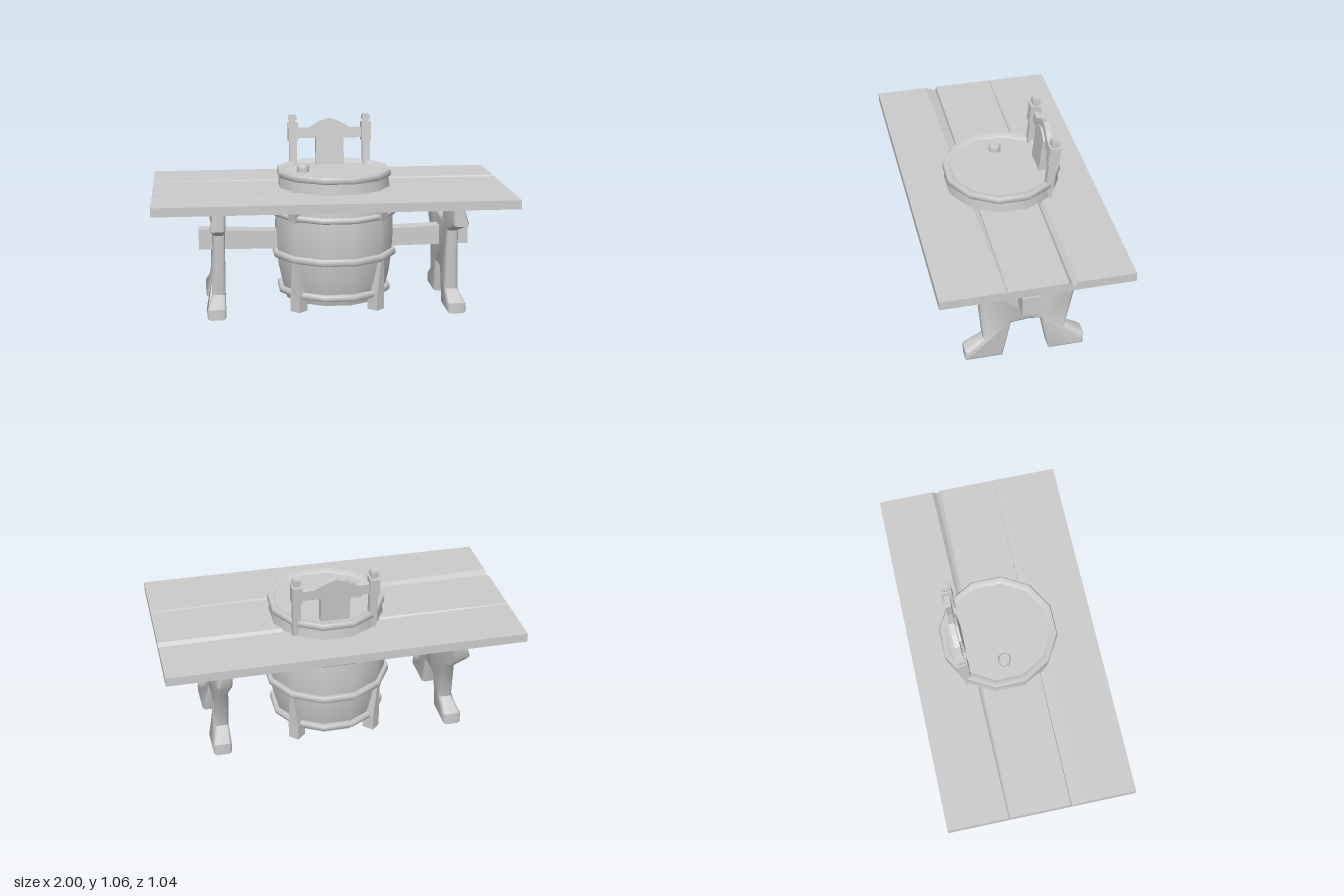
import * as THREE from 'three';
import { toCreasedNormals } from 'three/addons/utils/BufferGeometryUtils.js';

const CX = 0.03, CZ = -0.02; // barrel axis

export function createModel() {
  const root = new THREE.Group();
  root.name = 'barrelTable';
  const mat = new THREE.MeshStandardMaterial({ color: 0xcccccc });
  const add = (name, geo, parent = root) => {
    const m = new THREE.Mesh(geo, mat);
    m.name = name;
    parent.add(m);
    return m;
  };
  const shapeOf = pts => new THREE.Shape(pts.map(p => new THREE.Vector2(...p)));
  // Move every vertex by a rule, then rebuild normals
  const reshape = (geo, rule, crease) => {
    const p = geo.attributes.position, v = new THREE.Vector3();
    for (let i = 0; i < p.count; i++) {
      rule(v.fromBufferAttribute(p, i));
      p.setXYZ(i, v.x, v.y, v.z);
    }
    return toCreasedNormals(geo, crease);
  };
  // Twelve-sided turned part, radii measured to the flats
  const turned = (name, pts, crease = 0.6) => {
    const k = 1 / Math.cos(Math.PI / 12);
    const geo = new THREE.LatheGeometry(pts.map(([r, y]) => new THREE.Vector2(r * k, y)), 12, Math.PI / 12);
    add(name, toCreasedNormals(geo, crease)).position.set(CX, 0, CZ);
  };

  // Table top: cross-section with two V grooves that fade towards opposite ends
  const top = new THREE.ExtrudeGeometry(shapeOf([
    [-0.52, 0.645], [0.522, 0.645], [0.522, 0.695], [0.23, 0.695], [0.165, 0.67], [0.16, 0.695],
    [-0.158, 0.695], [-0.18, 0.67], [-0.207, 0.695], [-0.52, 0.695]]), { depth: 2, bevelEnabled: false });
  top.translate(0, 0, -1).rotateY(-Math.PI / 2);
  add('tableTop', reshape(top, v => {
    if (Math.abs(v.z) > 0.3) return;
    const back = v.z < 0, z0 = back ? -0.18 : 0.165;
    const t = back ? 0.2 + 0.4 * (1 + v.x) : 0.12 + 0.44 * (1 - v.x);
    v.z = z0 + (v.z - z0) * t;
    v.y = 0.695 - (0.695 - v.y) * t;
  }, 0.3));

  // Barrel body with sunken lid
  turned('barrel', [[0, 0.05], [0.275, 0.05], [0.29, 0.1], [0.312, 0.2], [0.326, 0.315], [0.333, 0.44],
    [0.328, 0.555], [0.313, 0.69], [0.304, 0.78], [0.298, 0.782], [0.285, 0.772], [0, 0.772]]);
  // Hoops
  [[0.102, 0.319, 0.018], [0.315, 0.35, 0.019], [0.553, 0.35, 0.016], [0.774, 0.32, 0.019]].forEach(([y, r, h]) =>
    turned('hoop', [[r - 0.04, y - h], [r - 0.006, y - h], [r, y - h * 0.55], [r, y + h * 0.55],
      [r - 0.006, y + h], [r - 0.024, y + h], [r - 0.04, y + h * 0.6]], 0.9));

  // Knob on the lid
  const knob = new THREE.LatheGeometry([[0, 0.765], [0.034, 0.765], [0.036, 0.802], [0.029, 0.815], [0, 0.815]]
    .map(p => new THREE.Vector2(...p)), 12);
  add('lidKnob', toCreasedNormals(knob, 0.7)).position.set(-0.145, 0, -0.022);

  // Diagonal barrel feet, each with a tapering brace and a clip on the upper hoop
  for (let i = 0; i < 4; i++) {
    const g = new THREE.Group();
    g.name = 'barrelFoot';
    g.position.set(CX, 0, CZ);
    g.rotation.y = Math.PI / 4 + i * Math.PI / 2;
    root.add(g);
    add('footBlock', new THREE.BoxGeometry(0.065, 0.095, 0.07), g).position.set(0, 0.0575, 0.31);
    const brace = new THREE.BoxGeometry(0.065, 0.22, 0.05).translate(0, 0.21, 0.32);
    add('footBrace', reshape(brace, v => {
      if (v.y > 0.2) { v.x *= 0.3; v.z += 0.012; }
    }, 0.3), g);
    const clip = new THREE.BoxGeometry(0.06, 0.06, 0.05).translate(0, 0.56, 0.35);
    add('hoopClip', reshape(clip, v => {
      if (v.y < 0.55) { v.x *= 0.7; v.z -= 0.012; }
    }, 0.3), g);
  }

  // Broken rubble under the barrel
  const rubble = new THREE.Group();
  rubble.name = 'rubble';
  rubble.position.set(CX, 0, CZ);
  root.add(rubble);
  const lump = new THREE.IcosahedronGeometry(0.085, 0);
  const core = add('rubbleCore', toCreasedNormals(lump, 0.2), rubble);
  core.scale.set(1.1, 0.35, 0.9);
  core.position.y = 0.037;
  for (let i = 0; i < 9; i++) {
    const a = i * Math.PI * 2 / 9, r = 0.13 + 0.025 * Math.sin(i * 2.7);
    const chip = add('rubbleChip', new THREE.BoxGeometry(0.07, 0.025, 0.045), rubble);
    chip.position.set(Math.cos(a) * r, 0.036, Math.sin(a) * r);
    chip.rotation.set(0.3 * Math.sin(i * 3.1), -a + 0.6 * Math.cos(i * 1.9), 0.35 * Math.cos(i * 2.3));
  }

  // Trestle legs: rounded slab outline, feet and shoulders swelling outwards
  const legOutline = shapeOf([
    [0.34, 0.01], [0.34, 0.07], [0.234, 0.127], [0.25, 0.3], [0.26, 0.473], [0.46, 0.54], [0.46, 0.643],
    [0.32, 0.643], [0.15, 0.605], [0.10, 0.517], [-0.135, 0.52], [-0.16, 0.615], [-0.29, 0.643],
    [-0.475, 0.643], [-0.475, 0.555], [-0.28, 0.38], [-0.23, 0.14], [-0.33, 0.08], [-0.33, 0.01],
    [-0.13, 0.01], [-0.09, 0.205], [-0.03, 0.215], [0.073, 0.205], [0.13, 0.01]].reverse());
  const swell = y => y < 0.1 ? 0.038 : y < 0.15 ? 0.01 : y > 0.53 && y < 0.6 ? 0.02 : 0;
  for (const s of [-1, 1]) {
    const leg = new THREE.ExtrudeGeometry(legOutline, {
      depth: 0.03, bevelThickness: 0.019, bevelSize: 0.018, bevelOffset: -0.018, bevelSegments: 2 });
    leg.translate(0, 0, -0.015).rotateY(-Math.PI / 2);
    const cx = s * 0.655 + 0.018;
    add('trestleLeg', reshape(leg, v => {
      if (v.x * s > 0) v.x += s * swell(v.y);
      v.x += cx;
    }, 0.95));
    // Cross beam, slightly thinner towards the barrel
    const beam = new THREE.BoxGeometry(0.52, 0.115, 0.095).translate(CX + s * 0.517, 0.4, -0.008);
    add('crossBeam', reshape(beam, v => {
      if ((v.x - CX) * s < 0.5) { if (v.y > 0.4) v.y -= 0.02; else v.y -= 0.005; }
    }, 0.3));
  }

  // Chair back, leaning backwards
  const chair = new THREE.Group();
  chair.name = 'chairBack';
  chair.position.set(CX, 0.69, -0.234);
  chair.rotation.x = -0.105;
  root.add(chair);
  for (const s of [-1, 1]) {
    // post, thick upper block, neck and cap: [width, depth, bottom, top]
    [['post', 0.044, 0.044, 0, 0.23], ['postBlock', 0.056, 0.062, 0.222, 0.33],
      ['postNeck', 0.032, 0.034, 0.33, 0.345], ['postCap', 0.046, 0.046, 0.343, 0.366],
      ['postCapTop', 0.036, 0.038, 0.366, 0.376]].forEach(([n, w, d, a, b]) =>
      add(n, new THREE.BoxGeometry(w, b - a, d), chair).position.set(s * 0.215, (a + b) / 2, 0));
  }
  const slab = (name, pts, depth, z) => add(name,
    new THREE.ExtrudeGeometry(shapeOf(pts), { depth, bevelEnabled: false }).translate(0, 0, z - depth / 2), chair);
  slab('topRail', [[-0.2, 0.237], [0.2, 0.237], [0.2, 0.297], [0.12, 0.297], [0.06, 0.333], [0, 0.353],
    [-0.06, 0.333], [-0.12, 0.297], [-0.2, 0.297]], 0.03, -0.004);
  slab('centrePanel', [[-0.082, 0.075], [0.082, 0.075], [0.082, 0.277], [0.05, 0.3], [0, 0.315],
    [-0.05, 0.3], [-0.082, 0.277]], 0.045, 0.002);
  return root;
}
